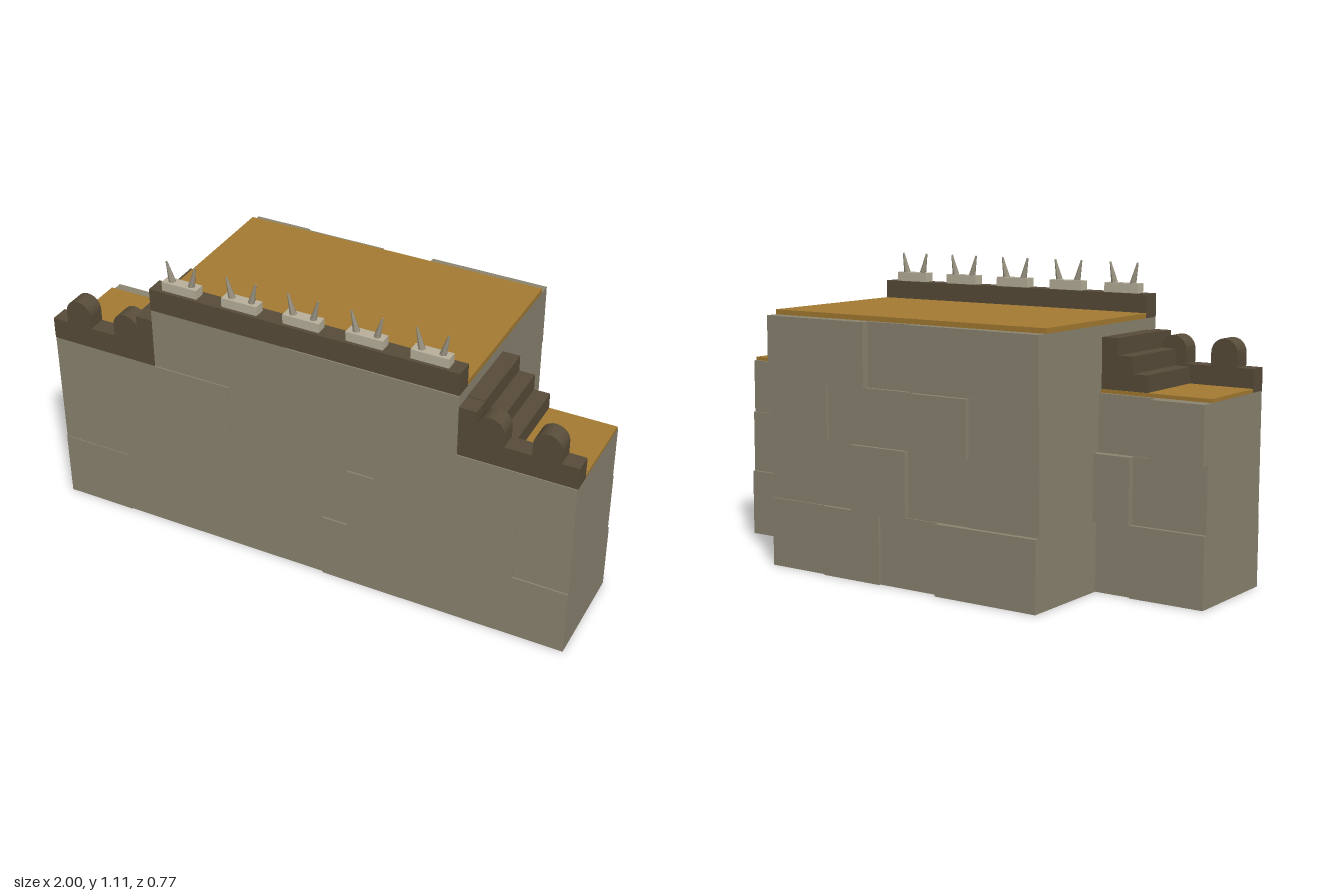
import * as THREE from 'three';

const material = (name, color) => Object.assign(new THREE.MeshStandardMaterial({ color, flatShading: true }), { name });

export function createModel() {
  const stone = material('stone', 0x8c8571);
  const timber = material('dark timber', 0x594d3a);
  const floor = material('ochre floor', 0xa57c32);
  const pale = material('pale stone', 0xbab29d);
  const metal = material('spike grey', 0x97907f);
  const model = new THREE.Group();
  model.name = 'fortifiedWall';

  // Box given by its limits on each axis
  const box = (name, mat, x0, x1, y0, y1, z0, z1, parent = model) => {
    const mesh = new THREE.Mesh(new THREE.BoxGeometry(x1 - x0, y1 - y0, z1 - z0), mat);
    mesh.position.set((x0 + x1) / 2, (y0 + y1) / 2, (z0 + z1) / 2);
    mesh.name = name;
    parent.add(mesh);
    return mesh;
  };

  const rows = [0, 0.252, 0.487, 0.69, 0.92];

  // Masonry: each course lists its joints along x and the z of each block's face
  const masonry = (name, courses, inner) => {
    const group = new THREE.Group();
    group.name = name;
    courses.forEach(([row, joints, faces]) => faces.forEach((z, i) =>
      box('stoneBlock', stone, joints[i], joints[i + 1], rows[row], rows[row + 1],
        Math.min(z, inner), Math.max(z, inner), group)));
    model.add(group);
  };

  // Solid cores
  box('centreCore', stone, -0.58, 0.58, 0, 0.92, -0.34, 0.374);
  for (const s of [-1, 1]) {
    box('wingCore', stone, Math.min(s, s * 0.58), Math.max(s, s * 0.58), 0, 0.69, 0.012, 0.374);
  }

  masonry('frontMasonry', [
    [0, [-1, -0.73, 0.08, 0.58, 1], [0.382, 0.379, 0.385, 0.385]],
    [1, [-1, -0.32, 0.18, 0.8, 1], [0.379, 0.379, 0.385, 0.379]],
    [2, [-1, -0.8, -0.58, -0.28, 0.28, 0.58, 1], [0.379, 0.381, 0.384, 0.379, 0.385, 0.385]],
    [3, [-0.58, -0.05, 0.58], [0.379, 0.386]],
  ], 0.37);

  masonry('backMasonry', [
    [0, [-0.58, -0.17, 0.08, 0.33, 0.58], [-0.386, -0.366, -0.375, -0.366]],
    [1, [-0.58, -0.3, -0.04, 0.2, 0.58], [-0.366, -0.361, -0.381, -0.36]],
    [2, [-0.58, -0.3, -0.07, 0.31, 0.58], [-0.37, -0.386, -0.366, -0.376]],
    [3, [-0.58, -0.36, -0.05, 0.14, 0.58], [-0.376, -0.368, -0.352, -0.381]],
  ], -0.33);

  masonry('wingBackMasonry', [
    [0, [0.58, 0.8, 1], [-0.025, -0.016]],
    [1, [0.58, 0.8, 1], [-0.032, -0.005]],
    [2, [0.58, 1], [0.002]],
    [0, [-1, -0.72, -0.58], [-0.02, -0.01]],
    [1, [-1, -0.72, -0.58], [-0.005, -0.032]],
    [2, [-1, -0.8, -0.72, -0.58], [-0.038, 0, 0]],
  ], 0.03);

  // Walkway and front parapet of the high centre
  box('centreFloor', floor, -0.58, 0.58, 0.92, 0.938, -0.333, 0.313);
  box('centreParapet', timber, -0.58, 0.58, 0.92, 1.004, 0.313, 0.381);

  // Round-topped merlon outline
  const merlonShape = new THREE.Shape();
  merlonShape.moveTo(-0.05, 0);
  merlonShape.lineTo(0.05, 0);
  merlonShape.lineTo(0.05, 0.047);
  merlonShape.absarc(0, 0.047, 0.05, 0, Math.PI, false);
  const merlonGeo = new THREE.ExtrudeGeometry(merlonShape, { depth: 0.068, bevelEnabled: false, curveSegments: 6 });

  // Low wings: floor, parapet, merlons and stairs on both sides
  for (const s of [-1, 1]) {
    const side = (name, mat, a, b, ...rest) => box(name, mat, Math.min(s * a, s * b), Math.max(s * a, s * b), ...rest);
    side('wingFloor', floor, 0.58, 1, 0.69, 0.703, 0.014, 0.313);
    side('wingParapet', timber, 0.58, 1, 0.69, 0.771, 0.313, 0.381);
    side('parapetStep', timber, 0.58, 0.643, 0.771, 0.877, 0.313, 0.381);
    for (const x of [0.691, 0.888]) {
      const merlon = new THREE.Mesh(merlonGeo, timber);
      merlon.name = 'merlon';
      merlon.position.set(s * x, 0.771, 0.313);
      model.add(merlon);
    }
    [[0.58, 0.643, 0.88], [0.643, 0.7, 0.821], [0.7, 0.758, 0.762]].forEach(([a, b, top]) =>
      side('stairStep', timber, a, b, 0.703, top, 0.016, 0.313));
  }

  // Paired spikes on pale blocks along the centre parapet
  const spikeGeo = new THREE.CylinderGeometry(0.004, 0.017, 0.085, 8);
  for (let i = -2; i <= 2; i++) {
    const mount = new THREE.Group();
    mount.name = 'spikeMount';
    mount.position.set(i * 0.2335, 1.004, 0.347);
    box('spikeBase', pale, -0.068, 0.068, 0, 0.034, -0.021, 0.021, mount);
    for (const s of [-1, 1]) {
      const spike = new THREE.Mesh(spikeGeo, metal);
      spike.name = 'spike';
      spike.position.set(s * 0.046, 0.066, 0);
      spike.rotation.z = -s * 0.24;
      spike.scale.set(0.8, 1, 0.8);
      mount.add(spike);
    }
    model.add(mount);
  }
  return model;
}
